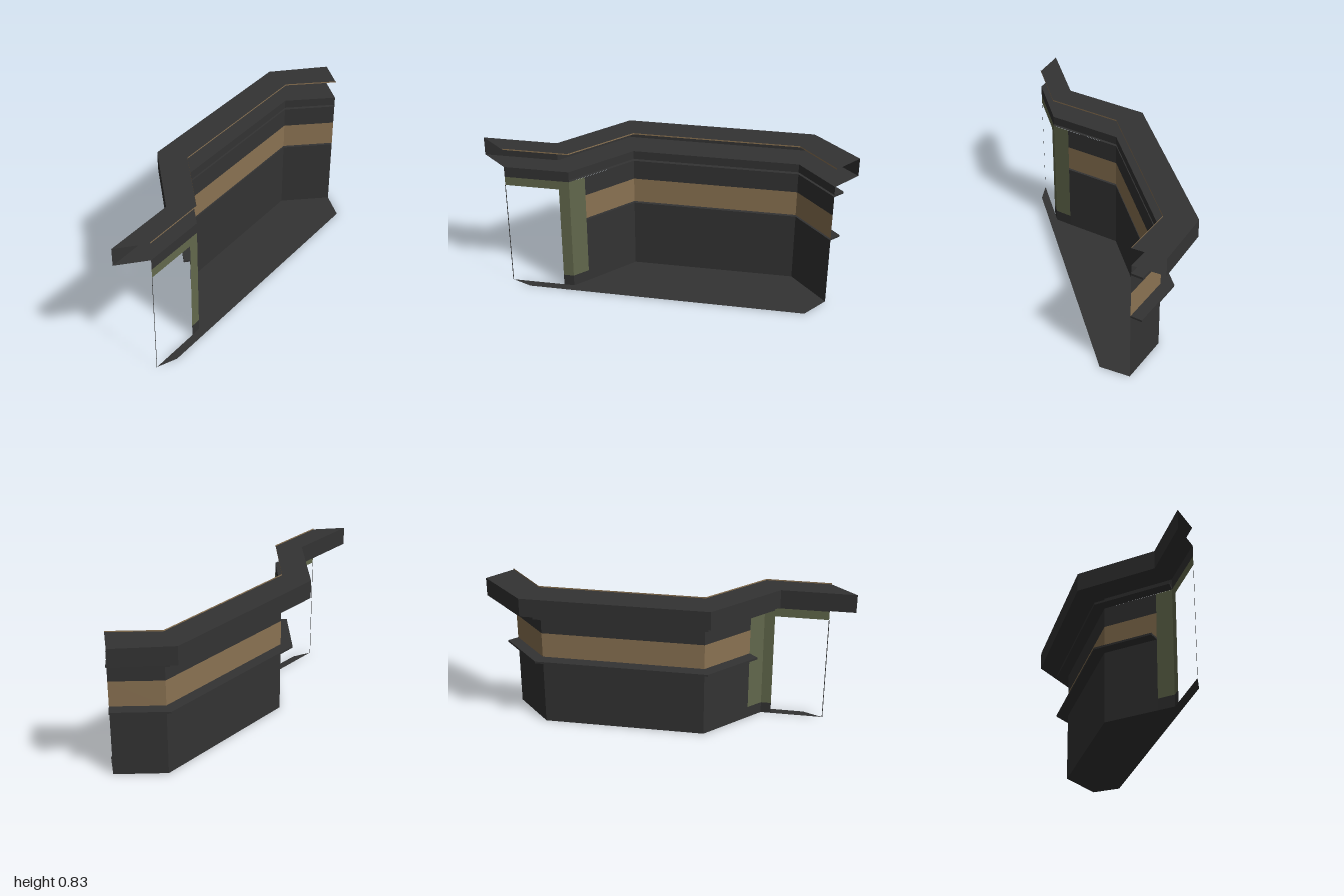
import * as THREE from 'three';

const material = (name, color) => {
  const m = new THREE.MeshStandardMaterial({ color, side: THREE.DoubleSide, flatShading: true });
  m.name = name;
  return m;
};

// Ribbon between two rows of [x, y, z] points, each quad with its own corners
function ribbon(rowA, rowB) {
  const pos = [];
  for (let i = 0; i < rowA.length - 1; i++) {
    const [a, b, c, d] = [rowA[i], rowA[i + 1], rowB[i + 1], rowB[i]];
    pos.push(...a, ...b, ...c, ...a, ...c, ...d);
  }
  const g = new THREE.BufferGeometry();
  g.setAttribute('position', new THREE.Float32BufferAttribute(pos, 3));
  g.computeVertexNormals();
  return g;
}

export function createModel() {
  const group = new THREE.Group();
  const dark = material('charcoal', 0x333333);
  const tan = material('tan', 0x8a7252);
  const green = material('olive', 0x62684c);

  const add = (name, geo, mat) => {
    const mesh = new THREE.Mesh(geo, mat);
    mesh.name = name;
    group.add(mesh);
  };
  const at = (plan, y) => plan.map(([x, z]) => [x, y, z]);
  const wall = (name, plan, y0, y1, mat) => add(name, ribbon(at(plan, y1), at(plan, y0)), mat);
  const flat = (name, inner, outer, y, mat) => add(name, ribbon(at(inner, y), at(outer, y)), mat);

  // Wall line in plan, as [x, z]
  const back = [0.12, -0.885], bend1 = [-0.09, -0.685], bend2 = [-0.09, 0.215];
  const frame = [0.133, 0.438], corner = [0.2, 0.508], jamb = [0.2, 0.565], front = [0.2, 0.86];
  const main = [back, bend1, bend2, frame];
  const toCorner = [back, bend1, bend2, corner];
  const full = [...toCorner, front];

  // Wall bands
  wall('lowerWall', main, 0, 0.398, dark);
  wall('middleBand', main, 0.409, 0.553, tan);
  wall('upperWall', main, 0.553, 0.665, dark);
  wall('topWall', toCorner, 0.677, 0.725, dark);
  wall('wallAboveDoor', [corner, front], 0.665, 0.725, dark);

  // Doorway
  wall('doorPlinth', [frame, corner, jamb], 0, 0.065, dark);
  wall('doorJamb', [frame, corner, jamb], 0.065, 0.665, green);
  wall('doorHeader', [jamb, front], 0.615, 0.665, green);
  wall('doorEdge', [[0.2, 0.858], [0.2, 0.862]], 0, 0.615, dark);

  // Hollow ledges projecting outward from the wall, closed at both ends
  const ledge = (name, inner, outer, y0, y1) => {
    flat(name + 'Bottom', inner, outer, y0, dark);
    flat(name + 'Top', inner, outer, y1, dark);
    wall(name + 'Face', outer, y0, y1, dark);
    for (const i of [0, inner.length - 1]) wall(name + 'End', [inner[i], outer[i]], y0, y1, dark);
  };
  const ledgeStart = [[0.075, -0.93], [-0.154, -0.712], [-0.154, 0.242]];
  ledge('lowerLedge', main, [...ledgeStart, [0.09, 0.486]], 0.398, 0.409);
  ledge('upperLedge', toCorner, [...ledgeStart, [0.168, 0.564]], 0.665, 0.677);

  // Deep crown channel, open toward the inside and at its ends
  const crown = [[-0.018, -1], [-0.252, -0.752], [-0.252, 0.265], [0.08, 0.597], [0.08, 1]];
  flat('crownBottom', full, crown, 0.725, dark);
  flat('crownTop', full, crown, 0.828, dark);
  wall('crownFace', crown, 0.725, 0.828, dark);
  wall('crownLip', full, 0.828, 0.835, tan);

  // Floor on the inner side of the wall
  const floor = new THREE.ShapeGeometry(new THREE.Shape(
    [...full, [0.245, 0.75], [0.252, -0.78]].map(([x, z]) => new THREE.Vector2(x, -z))));
  floor.rotateX(-Math.PI / 2);
  add('floor', floor, dark);

  return group;
}
